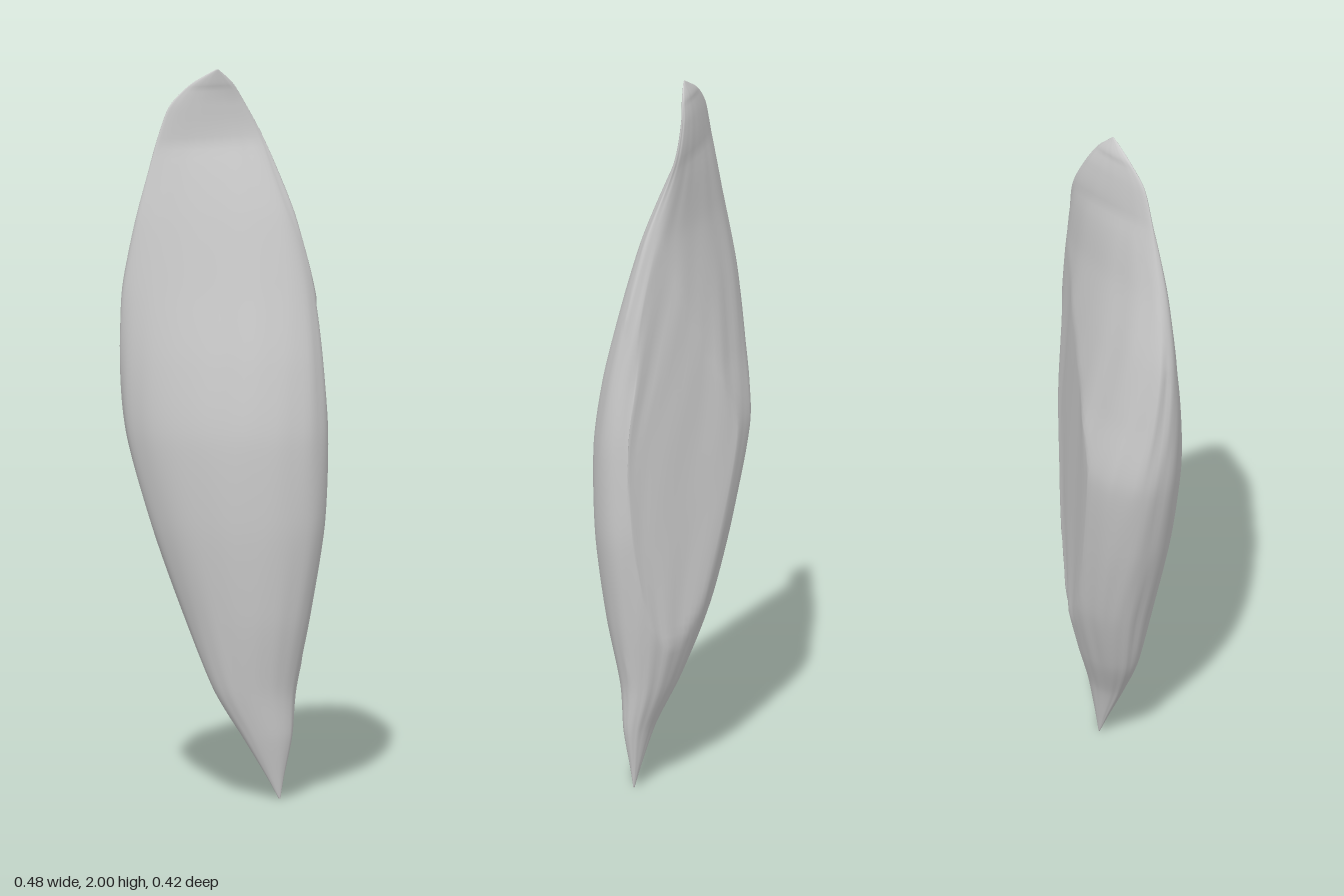
import * as THREE from 'three';

// Cross-sections: y, centre x, centre z, half width in x, half width in z, half thickness
const SECTIONS = [
  [0, 0.12, -0.08, 0.002, 0.002, 0.0015],
  [0.06, 0.113, -0.071, 0.018, 0.02, 0.013],
  [0.17, 0.098, -0.055, 0.052, 0.056, 0.036],
  [0.3, 0.065, -0.04, 0.092, 0.095, 0.07],
  [0.5, 0.043, -0.033, 0.153, 0.138, 0.115],
  [0.75, 0.022, -0.018, 0.208, 0.183, 0.145],
  [1.0, -0.003, -0.002, 0.237, 0.208, 0.155],
  [1.2, -0.012, 0.01, 0.223, 0.205, 0.125],
  [1.4, -0.025, 0.012, 0.193, 0.197, 0.09],
  [1.6, -0.036, 0.01, 0.144, 0.173, 0.06],
  [1.8, -0.06, 0.005, 0.08, 0.132, 0.04],
  [1.9, -0.064, 0.012, 0.054, 0.096, 0.028],
  [1.96, -0.053, 0.006, 0.032, 0.052, 0.017],
  [2, -0.037, 0, 0.003, 0.004, 0.002],
];
const AROUND = 72, ALONG = 104;

// The back is flattened: what bulges past this plane is pressed onto it and spread sideways
const BACK = new THREE.Vector2(-0.44, -0.9).normalize(), BACK_DISTANCE = 0.112;
function flattenBack(point) {
  const excess = Math.max(0, point.dot(BACK) - BACK_DISTANCE);
  const side = new THREE.Vector2(-BACK.y, BACK.x);
  const spread = THREE.MathUtils.clamp(point.dot(side) / 0.1, -1, 1) * 1.2;
  return point.addScaledVector(BACK, -excess).addScaledVector(side, spread * excess);
}

// Lens-like husk: slanted ellipses lofted along a leaning axis
function huskGeometry() {
  const spine = new THREE.CatmullRomCurve3(
    SECTIONS.map(([y, cx, cz]) => new THREE.Vector3(cx, y, cz)), false, 'catmullrom', 0.4);
  const sizes = new THREE.CatmullRomCurve3(
    SECTIONS.map((s) => new THREE.Vector3(s[3], s[4], s[5])), false, 'catmullrom', 0.4);
  const positions = [], indices = [];

  for (let j = 0; j <= ALONG; j++) {
    const c = spine.getPoint(j / ALONG), h = sizes.getPoint(j / ALONG);
    // The phase between x and z sets the slant and thickness of the ellipse
    const slant = (h.z * h.z - (h.x * h.x + h.y * h.y) / 2) / (h.x * h.y);
    const phase = Math.acos(THREE.MathUtils.clamp(slant, -0.97, 0.97));
    for (let i = 0; i < AROUND; i++) {
      const t = (i / AROUND) * Math.PI * 2;
      const x = Math.cos(t), z = Math.cos(t + phase);
      const p = flattenBack(new THREE.Vector2(c.x + h.x * x, c.z + h.y * z));
      // Shallow lengthwise wrinkles, deeper on the back
      const depth = x * h.x + z * h.y < 0 ? 0.012 : 0.004;
      const fold = 1 + depth *
        (Math.sin(11 * t + 3 * c.y) + Math.sin(17 * t - 5 * c.y) * Math.sin(4 * c.y));
      positions.push(c.x + (p.x - c.x) * fold, c.y, c.z + (p.y - c.z) * fold);
    }
  }
  for (let j = 0; j < ALONG; j++) {
    for (let i = 0; i < AROUND; i++) {
      const a = j * AROUND + i, b = j * AROUND + (i + 1) % AROUND;
      indices.push(a, b, a + AROUND, b, b + AROUND, a + AROUND);
    }
  }
  // Close both tips
  const last = ALONG * AROUND;
  for (let i = 1; i < AROUND - 1; i++) {
    indices.push(0, i + 1, i, last, last + i, last + i + 1);
  }
  const geometry = new THREE.BufferGeometry();
  geometry.setAttribute('position', new THREE.Float32BufferAttribute(positions, 3));
  geometry.setIndex(indices);
  geometry.computeVertexNormals();
  return geometry;
}

export function createModel() {
  const group = new THREE.Group();
  group.name = 'seed';
  const husk = new THREE.Mesh(huskGeometry(), new THREE.MeshStandardMaterial({ color: 0xcccccc }));
  husk.name = 'husk';
  group.add(husk);
  return group;
}
